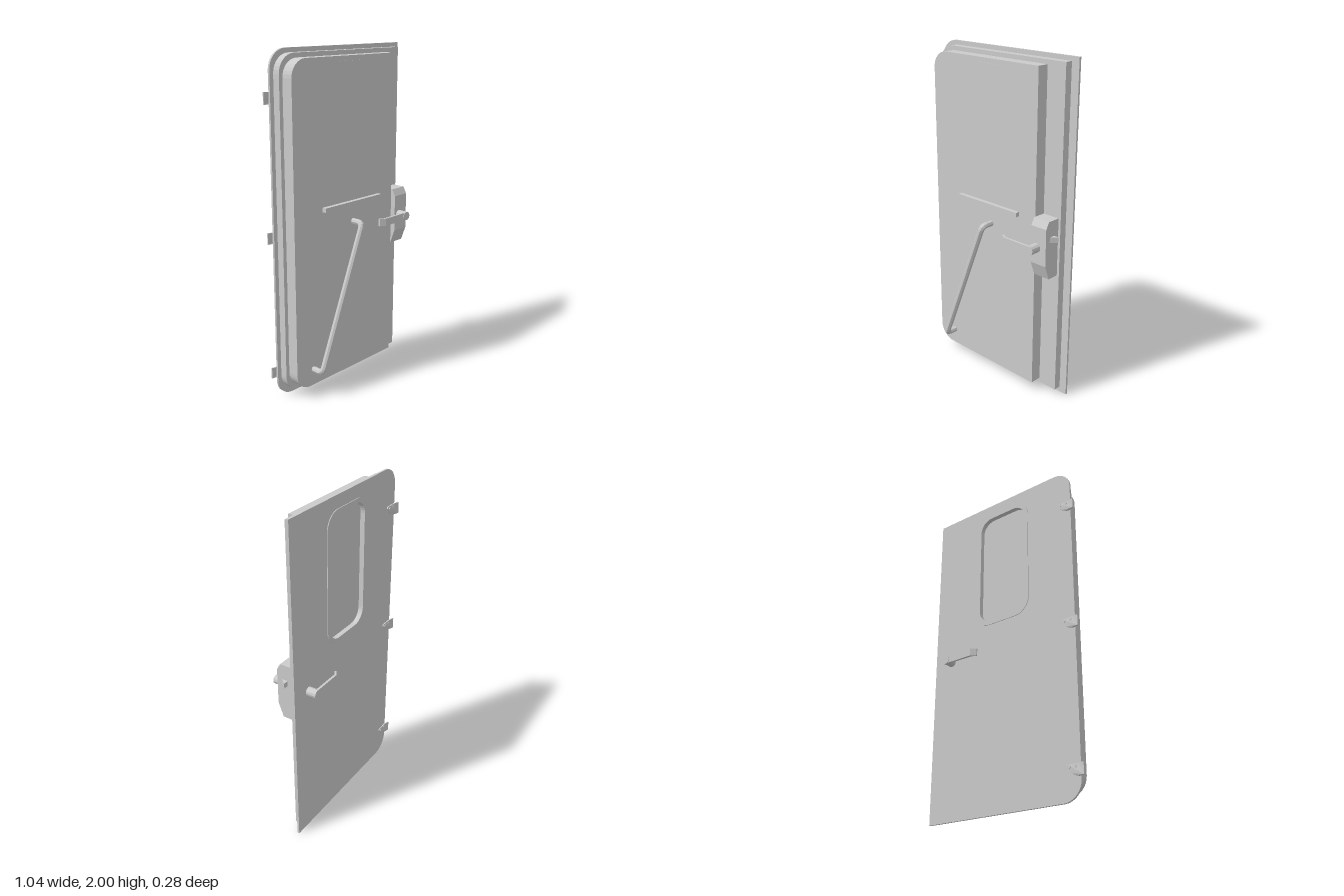
import * as THREE from 'three';

const mat = new THREE.MeshStandardMaterial({ color: 0xcccccc, flatShading: true, side: THREE.DoubleSide });

function add(parent, name, geometry) {
  const mesh = new THREE.Mesh(geometry, mat);
  mesh.name = name;
  parent.add(mesh);
  return mesh;
}

// Rectangle outline with separate corner radii for the -x and +x sides
function outline(PathType, x0, x1, y0, y1, rl, rr) {
  const p = new PathType();
  p.moveTo(x0 + rl, y0);
  p.lineTo(x1 - rr, y0);
  if (rr) p.absarc(x1 - rr, y0 + rr, rr, -Math.PI / 2, 0, false);
  p.lineTo(x1, y1 - rr);
  if (rr) p.absarc(x1 - rr, y1 - rr, rr, 0, Math.PI / 2, false);
  p.lineTo(x0 + rl, y1);
  if (rl) p.absarc(x0 + rl, y1 - rl, rl, Math.PI / 2, Math.PI, false);
  p.lineTo(x0, y0 + rl);
  if (rl) p.absarc(x0 + rl, y0 + rl, rl, Math.PI, Math.PI * 1.5, false);
  return p;
}

function slab(shape, z0, z1, curveSegments = 4) {
  return new THREE.ExtrudeGeometry(shape, { depth: z1 - z0, bevelEnabled: false, curveSegments }).translate(0, 0, z0);
}

const polygon = (pts) => new THREE.Shape(pts.map(([a, b]) => new THREE.Vector2(a, b)));

// Polygon of (x, z) points raised from y0 to y1
function upright(pts, y0, y1) {
  return slab(polygon(pts.map(([x, z]) => [x, -z])), y0, y1).rotateX(-Math.PI / 2);
}

// Window outline, shrunk inward by d
const windowPath = (Type, d) => outline(Type, -0.19 + d, 0.2 - d, 1.14 + d, 1.925 - d, 0.1 - d * 0.7, 0.1 - d * 0.7);

function makeHandle(side) {
  const handle = new THREE.Group();
  const z = (v) => (side > 0 ? v : -v - 0.005);
  const spindle = new THREE.CylinderGeometry(0.027, 0.027, 0.08, 12).rotateX(Math.PI / 2);
  add(handle, 'handleSpindle', spindle).position.set(0.39, 0.968, z(0.1));
  const lever = [[0.17, 0.105], [0.2, 0.123], [0.39, 0.123], [0.39, 0.137], [0.2, 0.137], [0.167, 0.117]];
  add(handle, 'handleLever', upright(lever.map(([x, v]) => [x, z(v)]), 0.945, 0.99));
  return handle;
}

function makeHinge() {
  const hinge = new THREE.Group();
  // Leaf with a curved lower edge, its outer end bent away from the door
  const s = new THREE.Shape();
  s.moveTo(-0.525, -0.033);
  s.lineTo(-0.49, -0.033);
  s.quadraticCurveTo(-0.44, -0.025, -0.415, 0.022);
  s.lineTo(-0.42, 0.033);
  s.lineTo(-0.49, 0.033);
  s.lineTo(-0.525, 0.033);
  const leaf = slab(s, -0.09, -0.083, 6);
  const p = leaf.attributes.position;
  for (let i = 0; i < p.count; i++) {
    if (p.getX(i) < -0.5) p.setZ(i, p.getZ(i) - 0.009);
  }
  leaf.computeVertexNormals();
  add(hinge, 'hingeLeaf', leaf);
  for (const x of [-0.475, -0.435]) {
    const bolt = new THREE.CylinderGeometry(0.008, 0.008, 0.014, 8).rotateX(Math.PI / 2);
    add(hinge, 'hingeBolt', bolt).position.set(x, 0.018, -0.088);
  }
  return hinge;
}

export function createModel() {
  const door = new THREE.Group();
  door.name = 'door';

  // Stepped door leaf: outer skin, middle layer and inner panel
  const skin = outline(THREE.Shape, -0.5, 0.52, 0, 2, 0.11, 0);
  skin.holes.push(windowPath(THREE.Path, 0.01));
  add(door, 'outerSkin', slab(skin, -0.083, -0.07));
  const middle = outline(THREE.Shape, -0.475, 0.472, 0.033, 1.975, 0.105, 0);
  middle.holes.push(windowPath(THREE.Path, 0.01));
  add(door, 'middleLayer', slab(middle, -0.07, -0.025));
  add(door, 'innerPanel', slab(outline(THREE.Shape, -0.452, 0.35, 0.06, 1.95, 0.1, 0), -0.025, 0.045));

  // Window set into the back, with a slim frame
  const frame = windowPath(THREE.Shape, 0);
  frame.holes.push(windowPath(THREE.Path, 0.025));
  add(door, 'windowFrame', slab(frame, -0.087, -0.055));
  add(door, 'windowPane', slab(windowPath(THREE.Shape, 0.012), -0.058, -0.052));

  // Thin trim strip at the top of the inner panel
  const strip = [[-0.11, 1.917], [-0.09, 1.912], [0.1, 1.912], [0.12, 1.917], [0.1, 1.922], [-0.09, 1.922]];
  add(door, 'topTrim', slab(polygon(strip), 0.044, 0.047));

  // Horizontal rail
  add(door, 'rail', new THREE.BoxGeometry(0.467, 0.026, 0.027)).position.set(-0.005, 1.113, 0.0575);

  // Diagonal grab bar with bent ends
  const a = new THREE.Vector3(0.01, 0.998, 0.04);
  const b = new THREE.Vector3(-0.323, 0.16, 0.04);
  const along = b.clone().sub(a).normalize().multiplyScalar(0.035);
  const at = (v, z) => new THREE.Vector3(v.x, v.y, z);
  const a1 = at(a, 0.119), b1 = at(b, 0.119);
  const a2 = a1.clone().add(along), b2 = b1.clone().sub(along);
  const bar = new THREE.CurvePath();
  bar.add(new THREE.LineCurve3(a, at(a, 0.09)));
  bar.add(new THREE.QuadraticBezierCurve3(at(a, 0.09), a1, a2));
  bar.add(new THREE.LineCurve3(a2, b2));
  bar.add(new THREE.QuadraticBezierCurve3(b2, b1, at(b, 0.09)));
  bar.add(new THREE.LineCurve3(at(b, 0.09), b));
  add(door, 'grabBar', new THREE.TubeGeometry(bar, 80, 0.018, 8));

  // Lock case, profile given as (z, y)
  const profile = [[-0.025, 1.13], [0.055, 1.13], [0.077, 1.09], [0.077, 0.87], [0.045, 0.785], [-0.025, 0.785]];
  const lock = slab(polygon(profile.map(([z, y]) => [-z, y])), 0.35, 0.457).rotateY(Math.PI / 2);
  add(door, 'lockCase', lock);
  add(door, 'latchBolt', upright([[0.45, 0.008], [0.488, 0.008], [0.457, 0.045], [0.45, 0.045]], 1.005, 1.037));

  // Lever handles on both faces
  for (const side of [1, -1]) {
    const handle = makeHandle(side);
    handle.name = side > 0 ? 'frontHandle' : 'backHandle';
    door.add(handle);
  }

  // Three hinges on the right edge
  for (const y of [1.745, 0.977, 0.158]) {
    const hinge = makeHinge();
    hinge.name = 'hinge';
    hinge.position.y = y;
    door.add(hinge);
  }
  return door;
}
